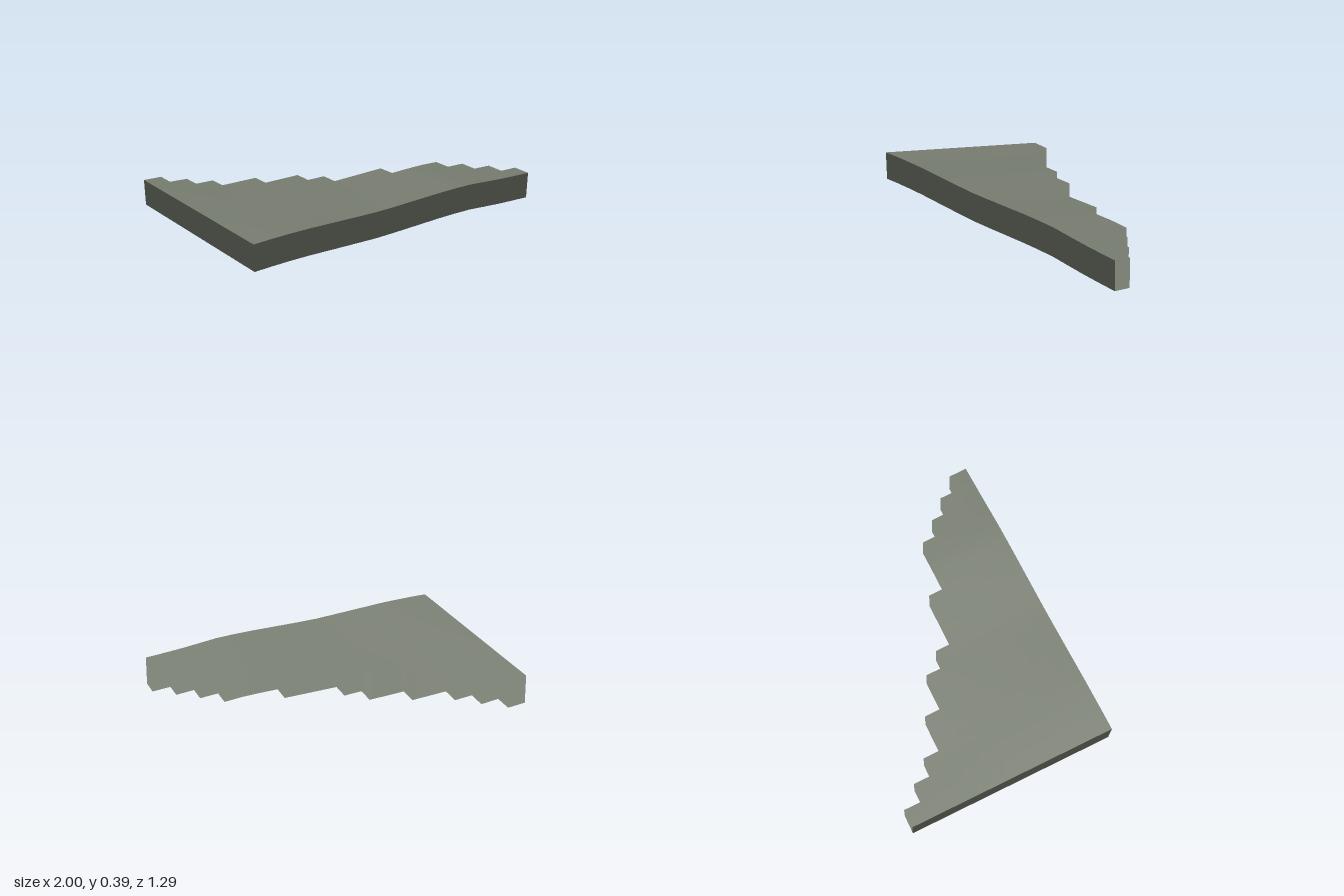
import * as THREE from 'three';

const CELL = 2 / 17, ROWS = 11, THICK = 0.175;
const X0 = -1, Z0 = -ROWS * CELL / 2;
// number of cells in each row, from the back to the front
const ROW_CELLS = [1, 2, 3, 5, 7, 8, 11, 14, 15, 16, 17];

// x, height along the front edge, slope towards the back
const PROFILE = [
  [-1, 0.387, 0.147], [-0.88, 0.381, 0.154], [-0.765, 0.373, 0.161], [-0.65, 0.363, 0.165],
  [-0.41, 0.336, 0.161], [-0.18, 0.311, 0.155], [-0.06, 0.303, 0.16], [0.29, 0.285, 0.164],
  [0.5, 0.27, 0.158], [0.64, 0.247, 0.148], [0.76, 0.228, 0.135], [0.88, 0.212, 0.13], [1, 0.197, 0.125],
];

function height(x, z) {
  let i = 0;
  while (i < PROFILE.length - 2 && x > PROFILE[i + 1][0]) i++;
  const [xa, ha, sa] = PROFILE[i], [xb, hb, sb] = PROFILE[i + 1];
  const t = (x - xa) / (xb - xa);
  return ha + (hb - ha) * t - (sa + (sb - sa) * t) * (-Z0 - z);
}

// upward slope normal, shared by the ground and the skirt below it
function slopeNormal(x, z) {
  const e = 0.06;
  return new THREE.Vector3(
    (height(x - e, z) - height(x + e, z)) / (2 * e), 1,
    (height(x, z - e) - height(x, z + e)) / (2 * e)).normalize();
}

// mesh from quads whose corners are [column, row, drop], counter-clockwise
function quadMesh(name, quads, material) {
  const pos = [], nor = [], index = [];
  for (const q of quads) {
    const b = pos.length / 3;
    for (const [c, r, drop] of q) {
      const x = X0 + c * CELL, z = Z0 + r * CELL;
      pos.push(x, height(x, z) - drop, z);
      nor.push(...slopeNormal(x, z).toArray());
    }
    index.push(b, b + 1, b + 2, b, b + 2, b + 3);
  }
  const g = new THREE.BufferGeometry();
  g.setAttribute('position', new THREE.Float32BufferAttribute(pos, 3));
  g.setAttribute('normal', new THREE.Float32BufferAttribute(nor, 3));
  g.setIndex(index);
  const mesh = new THREE.Mesh(g, material);
  mesh.name = name;
  return mesh;
}

export function createModel() {
  const group = new THREE.Group();
  group.name = 'terrainSlab';
  const stone = new THREE.MeshStandardMaterial({ color: 0x7a7f73, side: THREE.DoubleSide });
  stone.name = 'greyGreenStone';

  const filled = (c, r) => r >= 0 && r < ROWS && c >= 0 && c < ROW_CELLS[r];
  const ground = [], skirt = [];
  // wall hanging from the edge a-b, seen from outside with a on the left
  const wall = (a, b) => skirt.push([[...a, THICK], [...b, THICK], [...b, 0], [...a, 0]]);

  for (let r = 0; r < ROWS; r++) {
    for (let c = 0; c < ROW_CELLS[r]; c++) {
      ground.push([[c, r, 0], [c, r + 1, 0], [c + 1, r + 1, 0], [c + 1, r, 0]]);
      if (!filled(c, r + 1)) wall([c, r + 1], [c + 1, r + 1]);
      if (!filled(c, r - 1)) wall([c + 1, r], [c, r]);
      if (!filled(c + 1, r)) wall([c + 1, r + 1], [c + 1, r]);
      if (!filled(c - 1, r)) wall([c, r], [c, r + 1]);
    }
  }

  // sloping top, and the open-bottomed walls around it
  group.add(quadMesh('groundSurface', ground, stone), quadMesh('edgeSkirt', skirt, stone));
  group.children.forEach((m) => { m.position.y = -0.003; });
  return group;
}
